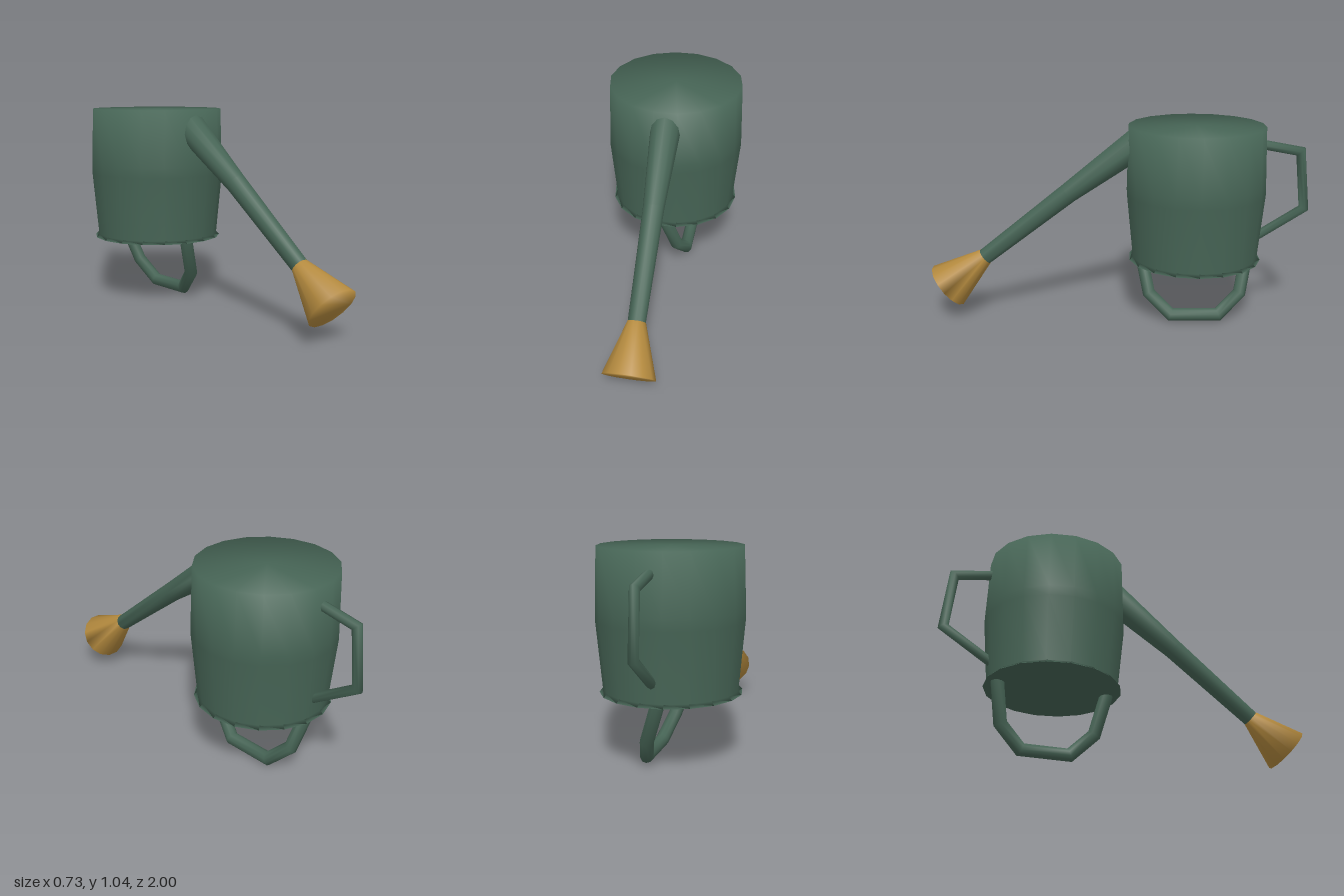
import * as THREE from 'three';

// Sweep a mitred, capped ring along a planar path (n = normal of the path's plane)
function sweep(points, radii, n, sides) {
  const pos = [], idx = [];
  const pts = points.map(p => new THREE.Vector3(...p));
  pts.forEach((c, i) => {
    const a = pts[Math.max(i - 1, 0)], b = pts[Math.min(i + 1, pts.length - 1)];
    const tin = (i ? c.clone().sub(a) : b.clone().sub(c)).normalize();
    const tout = (i < pts.length - 1 ? b.clone().sub(c) : tin.clone()).normalize();
    const t = tin.clone().add(tout).normalize();
    const v = t.clone().cross(n).divideScalar(t.dot(tin));
    const r = Array.isArray(radii) ? radii[i] : radii;
    for (let j = 0; j < sides; j++) {
      const ang = (j / sides) * Math.PI * 2;
      const p = c.clone().addScaledVector(n, r * Math.cos(ang)).addScaledVector(v, r * Math.sin(ang));
      pos.push(p.x, p.y, p.z);
    }
  });
  for (let i = 0; i < pts.length - 1; i++) {
    for (let j = 0; j < sides; j++) {
      const a = i * sides + j, b = i * sides + (j + 1) % sides;
      idx.push(a, b, a + sides, b, b + sides, a + sides);
    }
  }
  const last = (pts.length - 1) * sides;
  for (let j = 1; j < sides - 1; j++) {
    idx.push(0, j + 1, j, last, last + j, last + j + 1);
  }
  const g = new THREE.BufferGeometry();
  g.setAttribute('position', new THREE.Float32BufferAttribute(pos, 3));
  g.setIndex(idx);
  g.computeVertexNormals();
  return g;
}

export function createModel() {
  const group = new THREE.Group();
  const green = new THREE.MeshStandardMaterial({ color: 0x466455 });
  green.name = 'green enamel';
  const brass = new THREE.MeshStandardMaterial({ color: 0xb48a3e });
  brass.name = 'brass';
  const add = (name, geometry, material) => {
    const m = new THREE.Mesh(geometry, material);
    m.name = name;
    group.add(m);
    return m;
  };
  const sideNormal = new THREE.Vector3(1, 0, 0);

  // Upturned can: flared lip below, gently bulging wall, flat base on top
  const profile = [[0, 0.335], [0.35, 0.335], [0.333, 0.352], [0.365, 0.69], [0.364, 0.74], [0.355, 1.045], [0, 1.045]]
    .map(p => new THREE.Vector2(...p));
  const body = add('body', new THREE.LatheGeometry(profile, 18, Math.PI / 2), green);
  body.position.z = -0.398;

  // Tapering spout and its sprinkler head
  add('spout', sweep([[0, 0.96, -0.105], [0, 0.685, 0.27], [0, 0.33, 0.726]], [0.081, 0.054, 0.044], sideNormal, 12), green);
  add('sprinklerHead', sweep([[0, 0.335, 0.72], [0, 0.172, 0.925]], [0.045, 0.131], sideNormal, 14), brass);

  // Bent rod handle at the back
  add('backHandle', sweep([[0, 0.953, -0.69], [0, 0.907, -0.94], [0, 0.603, -0.971], [0, 0.437, -0.71]], 0.025, sideNormal, 8), green);

  // Carrying handle, tilted to one side
  const tilt = y => 0.087 - 0.34 * (y - 0.035);
  const half = [[0.37, 0.29], [0.145, 0.243], [0.035, 0.127]];
  const path = [...half.map(([y, d]) => [tilt(y), y, -0.4 + d]),
    ...half.slice().reverse().map(([y, d]) => [tilt(y), y, -0.4 - d])];
  const planeNormal = new THREE.Vector3(1, 0.34, 0).normalize();
  add('carryingHandle', sweep(path, 0.034, planeNormal, 10), green);

  return group;
}
